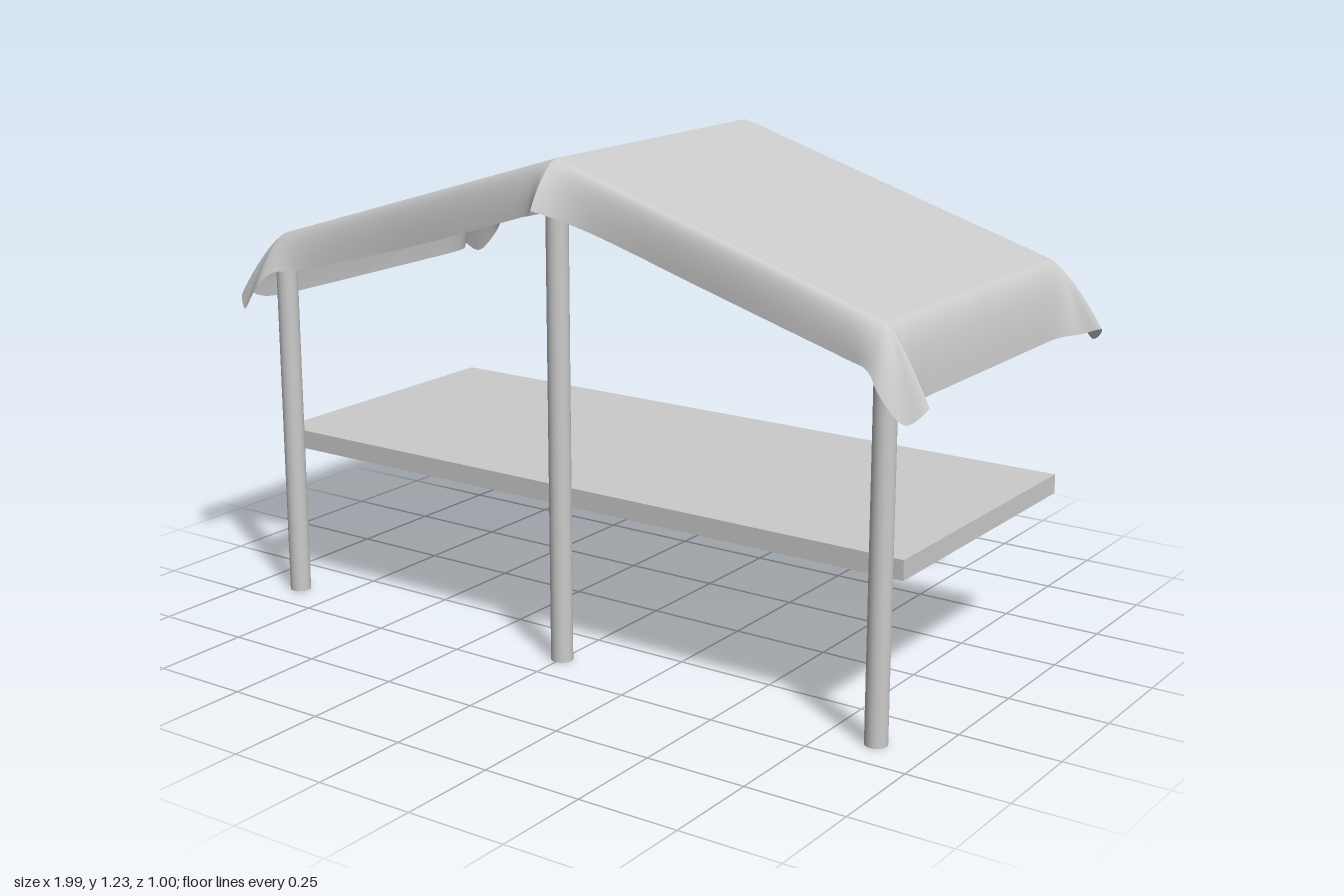
import * as THREE from 'three';

const EAVE_X = 0.87, EDGE_Z = 0.4, POST_Z = 0.4, POST_R = 0.027;
const roofY = (x) => 1.228 - 0.308 * x;

const frame = new THREE.MeshStandardMaterial({ color: 0xcccccc });
const cloth = new THREE.MeshStandardMaterial({ color: 0xcccccc, side: THREE.DoubleSide });

// Stations round one quarter of the canopy, ridge to eave middle:
// [bend control x, y, z, hem x, y, z]
const STATIONS = [
  [0, 1.215, 0.45, 0, 1.12, 0.5],
  [0.04, roofY(0.04), 0.435, 0.04, 1.1, 0.462],
  [0.13, roofY(0.13), 0.43, 0.13, 1.07, 0.437],
  [0.4, roofY(0.4), 0.43, 0.4, 0.985, 0.425],
  [0.65, roofY(0.65), 0.43, 0.65, 0.915, 0.432],
  [0.8, roofY(0.8), 0.435, 0.8, 0.877, 0.445],
  [0.87, 0.955, 0.435, 0.865, 0.865, 0.468],
  [0.895, 0.945, 0.435, 0.905, 0.82, 0.485],
  [0.91, 0.935, 0.43, 0.96, 0.762, 0.47],
  [0.92, 0.93, 0.42, 0.997, 0.798, 0.436],
  [0.915, 0.935, 0.4, 0.955, 0.785, 0.405],
  [0.912, 0.945, 0.35, 0.93, 0.785, 0.35],
  [0.912, 0.945, 0.2, 0.925, 0.785, 0.2],
  [0.912, 0.945, 0, 0.925, 0.785, 0],
];

// Hanging cloth of one quarter, curving from the roof edge down to the hem
function valanceGeometry(sx, sz) {
  const curve = (o) => new THREE.CatmullRomCurve3(
    STATIONS.map((s) => new THREE.Vector3(s[o], s[o + 1], s[o + 2])));
  const bend = curve(0), hem = curve(3);
  const cols = (STATIONS.length - 1) * 4, rows = 10;
  const pos = [], index = [];
  for (let i = 0; i <= cols; i++) {
    const c = bend.getPoint(i / cols), h = hem.getPoint(i / cols);
    const x = Math.min(Math.max(c.x, 0), EAVE_X);
    const top = new THREE.Vector3(x, roofY(x), Math.min(Math.max(c.z, 0), EDGE_Z));
    const drop = new THREE.QuadraticBezierCurve3(top, c, h);
    for (let j = 0; j <= rows; j++) {
      const p = drop.getPoint(j / rows);
      pos.push(p.x * sx, p.y, p.z * sz);
      if (i < cols && j < rows) {
        const a = i * (rows + 1) + j, b = a + rows + 1;
        if (sx * sz > 0) index.push(a, a + 1, b, b, a + 1, b + 1);
        else index.push(a, b, a + 1, b, b + 1, a + 1);
      }
    }
  }
  const g = new THREE.BufferGeometry();
  g.setAttribute('position', new THREE.Float32BufferAttribute(pos, 3));
  g.setIndex(index);
  g.computeVertexNormals();
  return g;
}

export function createModel() {
  const model = new THREE.Group();
  const add = (name, geometry, material, x = 0, y = 0, z = 0) => {
    const mesh = new THREE.Mesh(geometry, material);
    mesh.name = name;
    mesh.position.set(x, y, z);
    model.add(mesh);
    return mesh;
  };

  // Front posts, with a pole running back from the top of each
  for (const [name, x, h] of [['right', -0.873, 0.915], ['centre', 0, 1.172], ['left', 0.873, 0.915]]) {
    add(name + 'Post', new THREE.CylinderGeometry(POST_R, POST_R, h, 20), frame, x, h / 2, POST_Z);
    const pole = add(name + 'RoofPole', new THREE.CylinderGeometry(POST_R, POST_R, 0.82, 20), frame, x, h, 0);
    pole.rotation.x = Math.PI / 2;
  }

  // Counter board
  add('counter', new THREE.BoxGeometry(1.84, 0.048, 0.765), frame, 0, 0.411, 0.002);

  // Canopy: two sloping panels and the draped cloth around them
  const slope = Math.atan2(roofY(0) - roofY(EAVE_X), EAVE_X);
  for (const s of [-1, 1]) {
    const side = s < 0 ? 'right' : 'left';
    const panel = new THREE.PlaneGeometry(EAVE_X / Math.cos(slope), EDGE_Z * 2)
      .rotateX(-Math.PI / 2).rotateZ(-s * slope);
    add(side + 'RoofPanel', panel, cloth, s * EAVE_X / 2, roofY(EAVE_X / 2), 0);
    add(side + 'FrontValance', valanceGeometry(s, 1), cloth);
    add(side + 'BackValance', valanceGeometry(s, -1), cloth);
  }
  return model;
}
